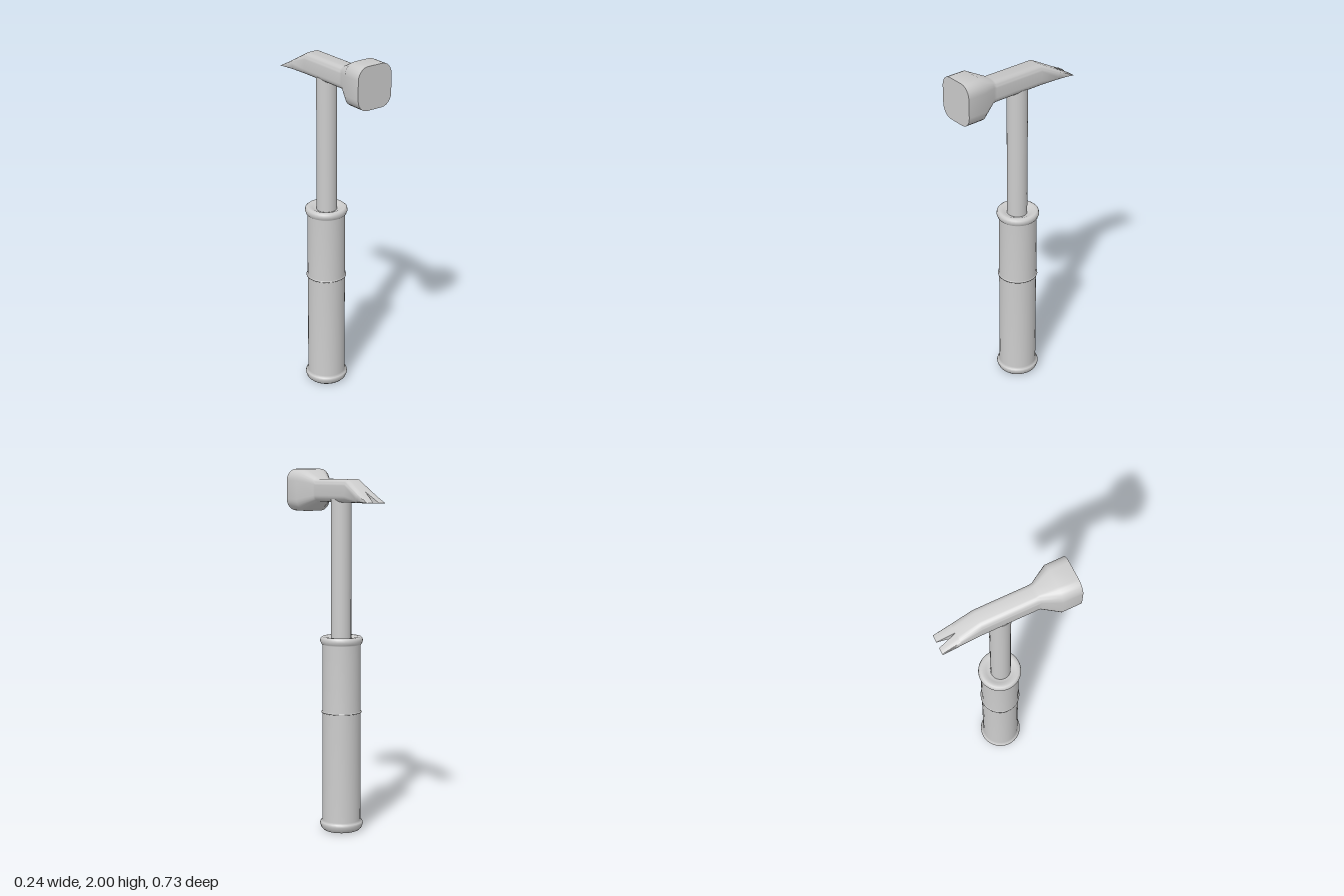
import * as THREE from 'three';
import { toCreasedNormals } from 'three/addons/utils/BufferGeometryUtils.js';

const V = (x, y) => new THREE.Vector2(x, y);

// Rounded rectangle, counter-clockwise, with corners that follow the size
function section(z, w, y0, y1) {
  const points = [], h = (y1 - y0) / 2, cy = (y0 + y1) / 2, round = 0.56, steps = 6;
  for (let q = 0; q < 4; q++) {
    const sx = q === 0 || q === 3 ? 1 : -1, sy = q < 2 ? 1 : -1;
    for (let i = 0; i <= steps; i++) {
      const a = (q + i / steps) * Math.PI / 2;
      points.push([
        w * (sx * (1 - round) + round * Math.cos(a)),
        cy + h * (sy * (1 - round) + round * Math.sin(a)), z]);
    }
  }
  return points;
}

// Skin over cross-sections running from front to back, closed at both ends
function loft(sections) {
  const n = sections[0].length, last = sections.length - 1, pos = sections.flat(2), index = [];
  for (let i = 0; i < last; i++) {
    for (let j = 0; j < n; j++) {
      const a = i * n + j, b = i * n + (j + 1) % n;
      index.push(a, a + n, b, b, a + n, b + n);
    }
  }
  for (const end of [0, last]) {
    const centre = pos.length / 3;
    for (let k = 0; k < 3; k++) pos.push(sections[end].reduce((s, p) => s + p[k], 0) / n);
    for (let j = 0; j < n; j++) {
      const a = end * n + j, b = end * n + (j + 1) % n;
      index.push(centre, end ? b : a, end ? a : b);
    }
  }
  const g = new THREE.BufferGeometry();
  g.setAttribute('position', new THREE.Float32BufferAttribute(pos, 3));
  g.setIndex(index);
  return toCreasedNormals(g, 0.75);
}

export function createModel() {
  const model = new THREE.Group();
  const grey = new THREE.MeshStandardMaterial({ color: 0xcccccc });
  grey.name = 'light grey';
  const add = (name, geometry, z = 0) => {
    const mesh = new THREE.Mesh(geometry, grey);
    mesh.name = name;
    mesh.position.z = z;
    model.add(mesh);
    return mesh;
  };

  // Grip: dished base, flared foot, thin middle ridge and rolled collar
  const profile = [
    V(0, 0.03), V(0.04, 0.028), V(0.06, 0.018), V(0.072, 0.004), V(0.085, 0), V(0.1, 0.003),
    V(0.112, 0.014), V(0.121, 0.038), V(0.117, 0.05), V(0.106, 0.06),
    V(0.105, 0.667), V(0.112, 0.669), V(0.112, 0.672), V(0.106, 0.677),
    V(0.105, 1.045), V(0.112, 1.052), V(0.118, 1.068), V(0.115, 1.083), V(0.106, 1.09),
    V(0.09, 1.09), V(0.075, 1.083), V(0.055, 1.075), V(0, 1.075)];
  add('grip', new THREE.LatheGeometry(profile, 32), -0.035);

  // Shaft
  const shaft = add('shaft', new THREE.CylinderGeometry(0.056, 0.056, 0.78, 24), -0.03);
  shaft.position.y = 1.45;

  // Head: square face block, tapered neck and bar sloping down to the claw
  const bottom = 1.822, top = 1.946, width = 0.057;
  const slopeTop = z => THREE.MathUtils.mapLinear(z, -0.15, -0.367, top, bottom + 0.003);
  const clawStart = -0.267;
  add('head', loft([
    section(0.367, 0.108, 1.767, 2),
    section(0.26, 0.108, 1.767, 2),
    section(0.167, width, 1.815, 1.954),
    section(0.15, width, bottom, top),
    section(-0.15, width, bottom, top),
    section(clawStart, width, bottom, slopeTop(clawStart))]));

  // Claw prongs either side of a V-shaped notch
  for (const side of [1, -1]) {
    const rings = [clawStart, -0.367].map(z => {
      const gap = z === clawStart ? 0 : 0.017;
      return section(z, width, bottom, slopeTop(z))
        .map(([x, y]) => [side * Math.max(side * x, gap), y, z]);
    });
    add(side > 0 ? 'leftClawProng' : 'rightClawProng', loft(rings));
  }
  return model;
}
